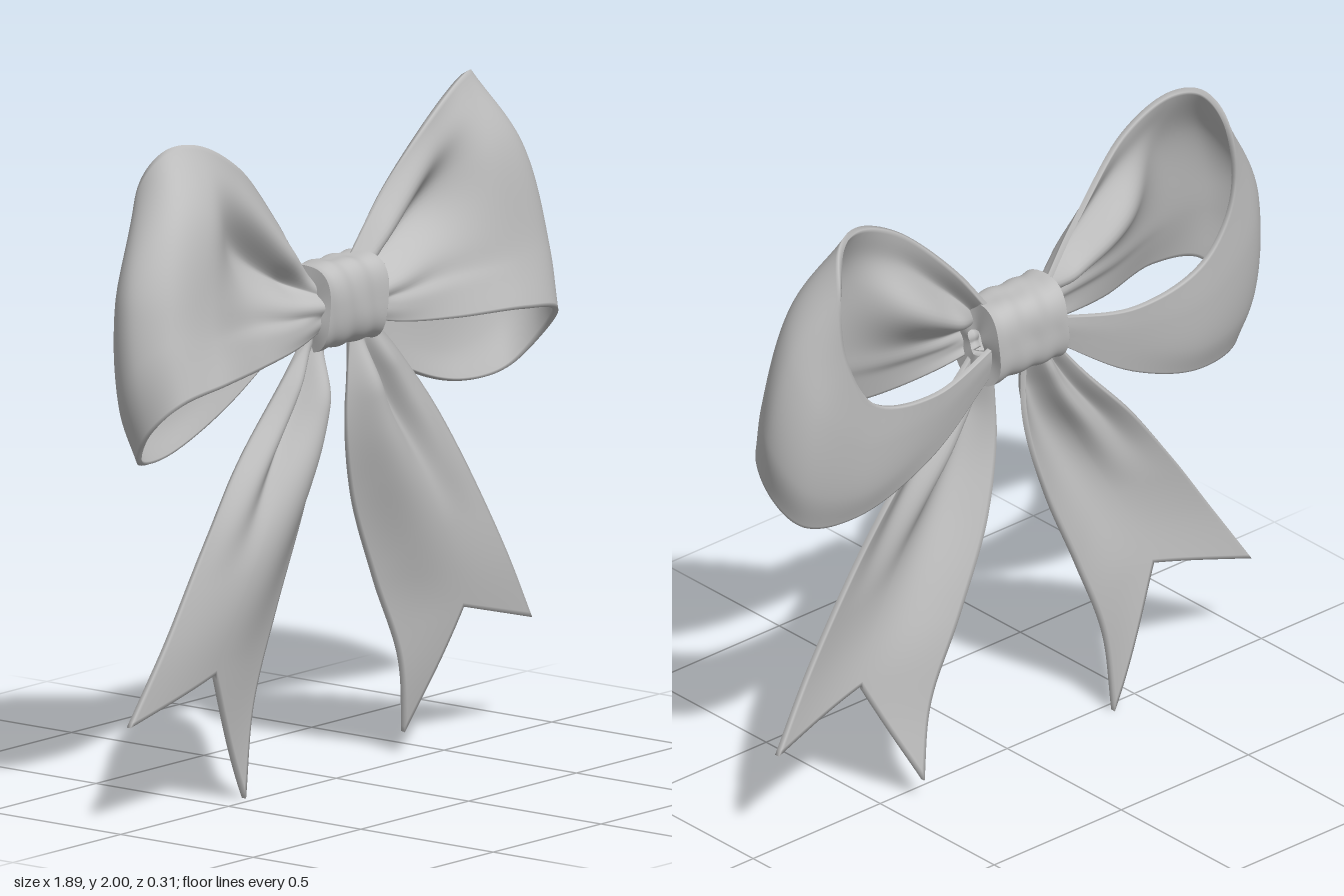
import * as THREE from 'three';
import { mergeVertices } from 'three/addons/utils/BufferGeometryUtils.js';

const satin = new THREE.MeshStandardMaterial({ color: 0xbfbfbf, side: THREE.DoubleSide });
satin.name = 'grey satin';

const rail = (pts) => new THREE.CatmullRomCurve3(pts.map((p) => new THREE.Vector3(...p)));
const bump = (x, centre, width) => Math.exp(-(((x - centre) / width) ** 2));
const { lerp, clamp, smoothstep } = THREE.MathUtils;

function buildGeometry(pos, idx) {
  const geo = new THREE.BufferGeometry();
  geo.setAttribute('position', new THREE.Float32BufferAttribute(pos, 3));
  geo.setIndex(idx);
  return geo;
}

// Grid of corners and triangles from a rule f(u, v) -> Vector3
function grid(f, nu, nv) {
  const pos = [], idx = [];
  for (let i = 0; i <= nu; i++) {
    for (let j = 0; j <= nv; j++) pos.push(...f(i / nu, j / nv).toArray());
  }
  for (let i = 0; i < nu; i++) {
    for (let j = 0; j < nv; j++) {
      const a = i * (nv + 1) + j, b = a + nv + 1;
      idx.push(a, b, a + 1, b, b + 1, a + 1);
    }
  }
  return { pos, idx };
}

function finish(name, geo) {
  geo.computeVertexNormals();
  const mesh = new THREE.Mesh(geo, satin);
  mesh.name = name;
  return mesh;
}

// Ribbon with two faces and a soft rim
function ribbon(name, f, nu, nv, half = 0.008) {
  const { pos, idx } = grid(f, nu, nv);
  const middle = buildGeometry(pos, idx);
  middle.computeVertexNormals();
  const n = middle.attributes.normal.array, count = pos.length / 3;
  const all = [...pos.map((p, k) => p + n[k] * half), ...pos.map((p, k) => p - n[k] * half)];
  const tris = [...idx];
  for (let k = 0; k < idx.length; k += 3) tris.push(idx[k] + count, idx[k + 2] + count, idx[k + 1] + count);
  // walk round the border to close the rim
  const border = [], at = (i, j) => i * (nv + 1) + j;
  for (let i = 0; i < nu; i++) border.push(at(i, 0));
  for (let j = 0; j < nv; j++) border.push(at(nu, j));
  for (let i = nu; i > 0; i--) border.push(at(i, nv));
  for (let j = nv; j > 0; j--) border.push(at(0, j));
  border.forEach((p, k) => {
    const q = border[(k + 1) % border.length];
    tris.push(q, p, p + count, q, p + count, q + count);
  });
  return finish(name, buildGeometry(all, tris));
}

// Loop rails run from the front of the knot, round the outside, to the back
const loopRails = [
  [[0.09, 1.37, 0.02], [0.25, 1.335, 0.05], [0.45, 1.315, 0.085], [0.7, 1.31, 0.145], [0.87, 1.275, 0.12],
    [0.908, 1.18, 0.03], [0.85, 1.08, -0.05], [0.68, 1.065, -0.09], [0.4, 1.16, -0.1], [0.09, 1.37, -0.07]],
  [[0.09, 1.42, 0.04], [0.25, 1.42, 0.05], [0.45, 1.44, 0.055], [0.7, 1.46, 0.1], [0.87, 1.46, 0.085],
    [0.938, 1.38, 0], [0.88, 1.23, -0.09], [0.68, 1.155, -0.12], [0.4, 1.24, -0.115], [0.09, 1.39, -0.075]],
  [[0.09, 1.47, 0.02], [0.25, 1.55, 0.01], [0.44, 1.67, -0.01], [0.64, 1.78, 0.04], [0.81, 1.78, 0.025],
    [0.9, 1.65, -0.05], [0.86, 1.48, -0.125], [0.68, 1.31, -0.137], [0.4, 1.315, -0.125], [0.09, 1.415, -0.08]],
  [[0.09, 1.5, -0.05], [0.24, 1.7, -0.04], [0.45, 1.9, -0.02], [0.64, 1.99, -0.05], [0.73, 1.98, -0.09],
    [0.78, 1.88, -0.14], [0.77, 1.66, -0.145], [0.65, 1.45, -0.14], [0.4, 1.385, -0.13], [0.09, 1.44, -0.08]],
].map(rail);

function makeLoop(side) {
  const point = (u, v) => {
    const p = new THREE.CatmullRomCurve3(loopRails.map((r) => r.getPoint(u))).getPoint(v);
    // deep dent in the front panel, a ridge above it and a fine crease below
    const reach = smoothstep(u, 0, 0.1) * (1 - smoothstep(u, 0.15, 0.36));
    p.z += reach * (0.03 * bump(v, 0.84, 0.1) - 0.065 * bump(v, 0.62, 0.12) - 0.012 * bump(v, 0.34, 0.06));
    // pleats gathered at the knot
    const gather = Math.max(0, 1 - u / 0.2) ** 1.5;
    p.z += 0.01 * gather * Math.sin(v * Math.PI * 6) * Math.sin(v * Math.PI);
    // the right loop leans in a little at its top
    if (side < 0) p.x -= 0.045 * smoothstep(p.y, 1.55, 1.9) * smoothstep(p.x, 0.3, 0.75);
    p.x *= side;
    return p;
  };
  return ribbon(side > 0 ? 'leftLoop' : 'rightLoop', point, 100, 46);
}

// Tail rails run from the knot down: inner edge, middle to the notch, outer edge
function makeTail(name, rails, tipZ) {
  const [inner, middle, outer] = rails.map((r) => rail(r.map(([x, y]) => [x, y, 0])));
  // depth of both edges, keyed evenly from the knot to the ground
  const innerZ = rail([0, -0.015, -0.04, -0.042, -0.04, tipZ].map((z, i) => [i, 0, z]));
  const outerZ = rail([0, -0.03, -0.01, -0.005, -0.025, -0.035].map((z, i) => [i, 0, z]));
  const point = (u, v) => {
    const m = middle.getPoint(u);
    const p = v < 0.5
      ? inner.getPoint(u).lerp(m, v * 2)
      : m.lerp(outer.getPoint(u), v * 2 - 1);
    // puffed pocket on the inner half with a groove beside it
    const drop = clamp(1 - p.y / 1.36, 0, 1);
    const puff = smoothstep(drop, 0, 0.16) * (1 - smoothstep(drop, 0.24, 0.7));
    const groove = smoothstep(drop, 0, 0.12) * (1 - smoothstep(drop, 0.2, 0.5));
    p.z = lerp(innerZ.getPoint(drop).z, outerZ.getPoint(drop).z, v)
      + 0.065 * puff * bump(v, 0.32, 0.24)
      - 0.03 * groove * bump(v, 0.6, 0.1)
      + 0.03 * groove * bump(v, 0.8, 0.12)
      + 0.04 * Math.sin(Math.PI * drop) * Math.sin(Math.PI * v);
    return p;
  };
  return ribbon(name, point, 70, 44);
}

// Band wrapped round the middle, gathered into soft ridges that follow the wrap
function makeKnot() {
  const point = (u, v) => {
    const a = u * Math.PI * 2;
    const c = Math.cos(a), s = Math.sin(a);
    const round = 1 / (Math.abs(c) ** 3 + Math.abs(s) ** 3) ** (1 / 3);
    const t = clamp((v - 0.06) / 0.88, 0, 1);
    const lip = v < 0.03 || v > 0.97 ? 0.3 : 1;
    const ridges = 0.02 * Math.cos(t * Math.PI * 6 + 1.2 * Math.sin(a * 2))
      + 0.015 * Math.sin(a * 5 + 4 * t) * Math.sin(Math.PI * t);
    const r = round * lip * (0.97 + ridges + 0.02 * (2 * t - 1) ** 4);
    return new THREE.Vector3(
      0.015 + (t - 0.5) * 0.27 + 0.005 * Math.sin(a * 3),
      1.425 + 0.13 * r * s,
      -0.03 + 0.105 * r * c);
  };
  const { pos, idx } = grid(point, 96, 66);
  return finish('knot', mergeVertices(buildGeometry(pos, idx), 1e-5));
}

export function createModel() {
  const bow = new THREE.Group();
  bow.name = 'ribbonBow';
  bow.add(makeLoop(1), makeLoop(-1), makeKnot());
  bow.add(makeTail('leftTail', [
    [[0.06, 1.35], [0.046, 1.08], [0.105, 0.83], [0.22, 0.56], [0.335, 0.31], [0.39, 0.065]],
    [[0.09, 1.36], [0.17, 1.14], [0.28, 0.95], [0.4, 0.76], [0.49, 0.6], [0.575, 0.42]],
    [[0.13, 1.38], [0.31, 1.22], [0.47, 1.05], [0.62, 0.82], [0.78, 0.56], [0.925, 0.325]],
  ], -0.075));
  bow.add(makeTail('rightTail', [
    [[-0.07, 1.35], [-0.066, 1.08], [-0.125, 0.82], [-0.24, 0.54], [-0.345, 0.27], [-0.385, 0]],
    [[-0.09, 1.36], [-0.17, 1.14], [-0.29, 0.94], [-0.4, 0.75], [-0.49, 0.59], [-0.575, 0.41]],
    [[-0.12, 1.38], [-0.28, 1.17], [-0.48, 0.95], [-0.65, 0.73], [-0.8, 0.51], [-0.935, 0.305]],
  ], -0.035));
  return bow;
}
